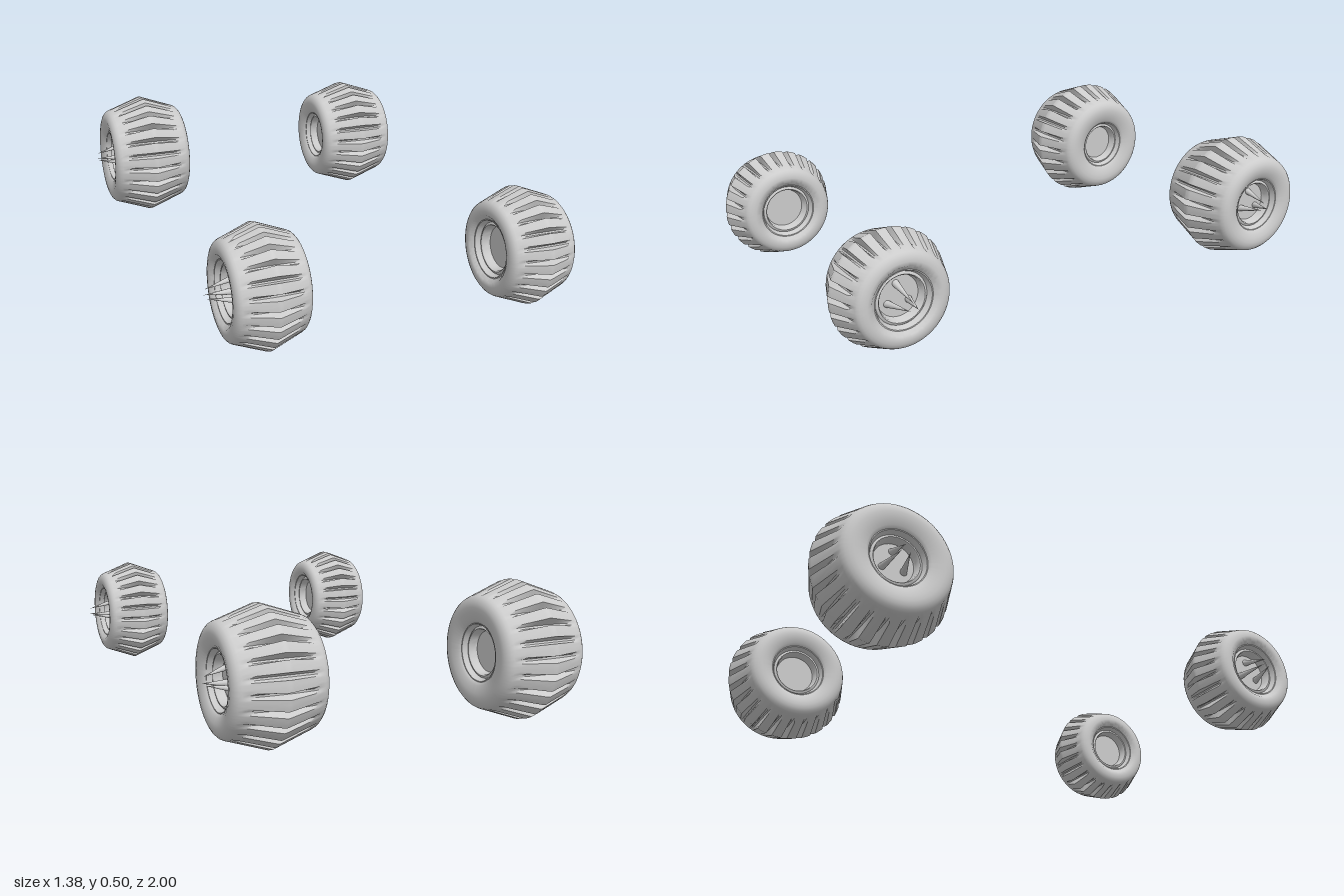
import * as THREE from 'three';
import { toCreasedNormals } from 'three/addons/utils/BufferGeometryUtils.js';

const material = new THREE.MeshStandardMaterial({ color: 0xcccccc });
const TEETH = 24;
const STEPS = 8; // angular steps per tooth, the last two form the groove
const RIM = 0.104;

// Closes a half profile [radius, offset] into a symmetric one running along the axle
function mirrorProfile(half) {
  return [
    ...half.map(([r, y]) => new THREE.Vector2(r, -y)),
    ...half.slice().reverse().map(([r, y]) => new THREE.Vector2(r, y)),
  ];
}

// Balloon tyre whose crown is cut by grooves that fade out at the shoulders
function tyreGeometry(R, w) {
  const shoulder = 0.84 * w;
  const half = [
    [RIM - 0.006, 0.8 * w], [RIM, 0.89 * w], [RIM + 0.012, 0.945 * w],
    [0.57 * R, 0.985 * w], [0.64 * R, w], [0.70 * R, 0.985 * w],
    [0.75 * R, 0.95 * w], [0.785 * R, 0.9 * w], [0.805 * R, shoulder],
  ];
  for (const t of [0.85, 0.7, 0.55, 0.4, 0.25, 0.1, 0.02]) {
    half.push([R * (1 - 0.195 * t), shoulder * t]);
  }
  const points = mirrorProfile(half);
  const geometry = new THREE.LatheGeometry(points, TEETH * STEPS);
  const pos = geometry.attributes.position;
  for (let k = 0; k < pos.count; k++) {
    const column = Math.floor(k / points.length) % STEPS;
    const t = Math.abs(pos.getY(k)) / shoulder;
    if (column < STEPS - 2 || t >= 1) continue;
    const top = 1 - 0.195 * t;
    const floor = 0.84 - 0.035 * t * t;
    const scale = Math.min(1, floor / top);
    pos.setX(k, pos.getX(k) * scale);
    pos.setZ(k, pos.getZ(k) * scale);
  }
  return toCreasedNormals(geometry, 0.7);
}

// Dished hub with a stepped rim on both sides
function hubGeometry(w) {
  const d = 0.89 * w - 0.045;
  const half = [
    [0, d], [0.074, d], [0.078, d + 0.008], [0.08, d + 0.026], [0.084, d + 0.031],
    [0.089, d + 0.03], [0.093, d + 0.026], [0.097, d + 0.034], [0.102, d + 0.046],
    [0.107, d + 0.046], [0.108, d + 0.03],
  ];
  return toCreasedNormals(new THREE.LatheGeometry(mirrorProfile(half), 48), 0.7);
}

function addMesh(parent, geometry, name) {
  const mesh = new THREE.Mesh(geometry, material);
  mesh.name = name;
  parent.add(mesh);
  return mesh;
}

// Wheel with its outer face towards +x
function makeWheel(name, R, w, tip) {
  const wheel = new THREE.Group();
  wheel.name = name;
  addMesh(wheel, tyreGeometry(R, w), 'tyre').rotation.z = -Math.PI / 2;
  addMesh(wheel, hubGeometry(w), 'hub').rotation.z = -Math.PI / 2;

  // Three slim spikes leaning together as they leave the hub
  const base = 0.89 * w - 0.05;
  for (const degrees of [82, 210, 332]) {
    const a = THREE.MathUtils.degToRad(degrees);
    const at = (x, r) => new THREE.Vector3(x, r * Math.sin(a), r * Math.cos(a));
    const from = at(base, 0.045);
    const to = at(tip, 0.017);
    const direction = to.clone().sub(from);
    const spike = addMesh(wheel, new THREE.ConeGeometry(0.013, direction.length(), 16), 'hubSpike');
    spike.position.copy(from).lerp(to, 0.5);
    spike.quaternion.setFromUnitVectors(new THREE.Vector3(0, 1, 0), direction.normalize());
  }
  return wheel;
}

export function createModel() {
  const model = new THREE.Group();
  model.name = 'wheelSet';
  // name, tyre radius, half width, spike reach, centre x, y, z
  const wheels = [
    ['frontLeftWheel', 0.212, 0.13, 0.185, 0.498, 0.223, 0.786],
    ['frontRightWheel', 0.212, 0.13, 0.18, -0.48, 0.223, 0.786],
    ['rearLeftWheel', 0.238, 0.165, 0.193, 0.497, 0.253, -0.748],
    ['rearRightWheel', 0.253, 0.165, 0.21, -0.48, 0.253, -0.748],
  ];
  for (const [name, R, w, tip, x, y, z] of wheels) {
    const wheel = makeWheel(name, R, w, tip);
    wheel.position.set(x, y, z);
    if (x < 0) wheel.rotation.y = Math.PI;
    model.add(wheel);
  }
  return model;
}
